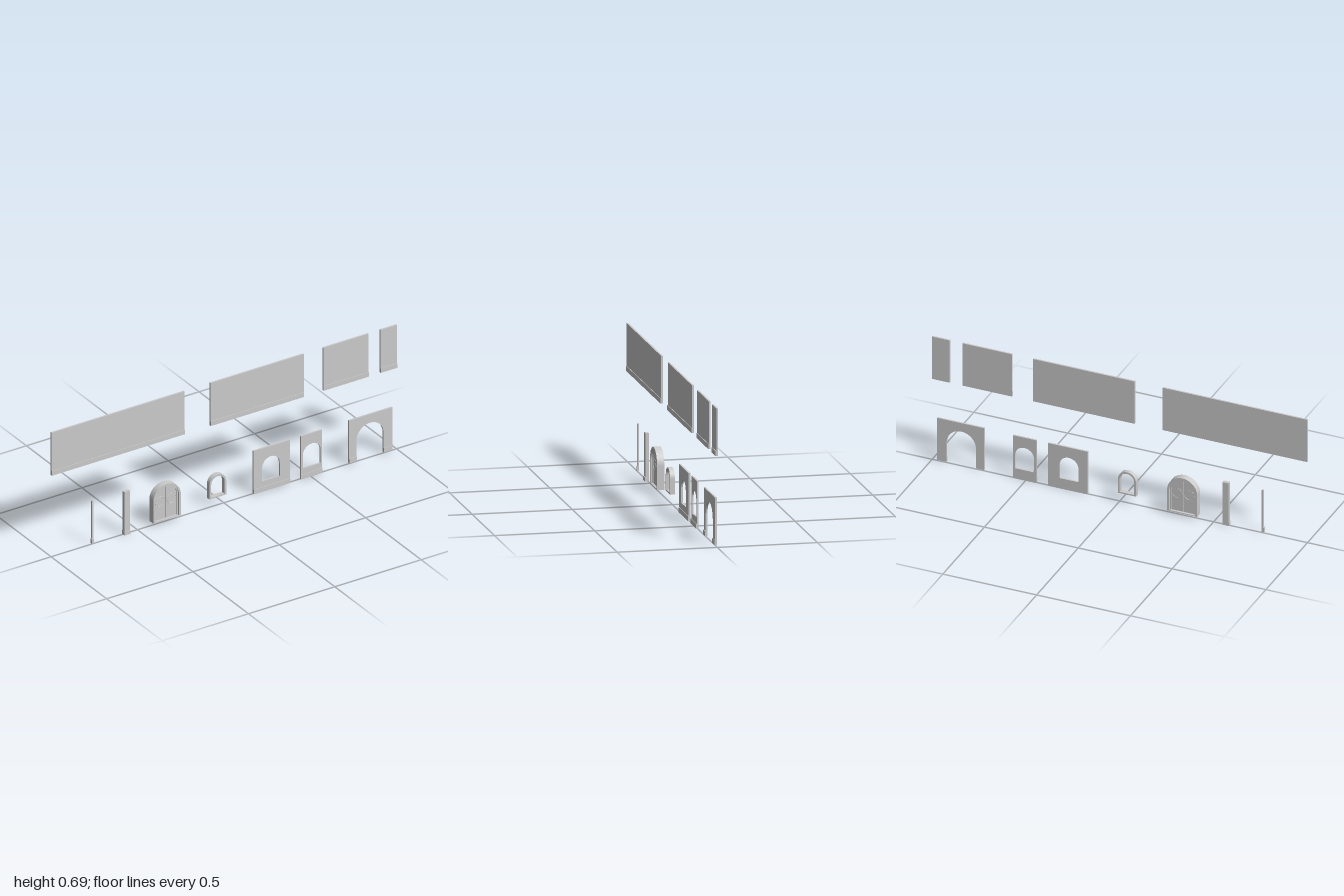
import * as THREE from 'three';

const grey = new THREE.MeshStandardMaterial({ color: 0xcccccc, flatShading: true });
const WALL_BACK = -0.004, WALL_FRONT = 0.005, SKIRT_FRONT = 0.008, SKIRT_HEIGHT = 0.025;

// Box given by its limits on each axis
function box(name, x0, x1, y0, y1, z0, z1) {
  const mesh = new THREE.Mesh(new THREE.BoxGeometry(x1 - x0, y1 - y0, z1 - z0), grey);
  mesh.position.set((x0 + x1) / 2, (y0 + y1) / 2, (z0 + z1) / 2);
  mesh.name = name;
  return mesh;
}

// Round-topped outline: straight sides and a semicircular head
function arch(path, x0, x1, y0, top) {
  const r = (x1 - x0) / 2;
  path.moveTo(x0, y0);
  path.lineTo(x1, y0);
  path.lineTo(x1, top - r);
  path.absarc((x0 + x1) / 2, top - r, r, 0, Math.PI, false);
  path.lineTo(x0, y0);
  return path;
}

function extrude(name, shape, z0, z1) {
  const geo = new THREE.ExtrudeGeometry(shape, { depth: z1 - z0, bevelEnabled: false, curveSegments: 20 });
  geo.translate(0, 0, z0);
  const mesh = new THREE.Mesh(geo, grey);
  mesh.name = name;
  return mesh;
}

function rectangle(x0, x1, y0, y1) {
  return new THREE.Shape([[x0, y0], [x1, y0], [x1, y1], [x0, y1]].map(p => new THREE.Vector2(...p)));
}

function skirting(x0, x1, y0) {
  return box('skirting', x0, x1, y0, y0 + SKIRT_HEIGHT, WALL_FRONT, SKIRT_FRONT);
}

function group(name, ...parts) {
  const g = new THREE.Group();
  g.name = name;
  return g.add(...parts);
}

// Arched frame of even width, open or closed along the bottom
function archFrame(name, x0, x1, y0, top, width, sill, z0, z1) {
  const shape = arch(new THREE.Shape(), x0, x1, y0, top);
  shape.holes.push(arch(new THREE.Path(), x0 + width, x1 - width, y0 + sill, top - width));
  return extrude(name, shape, z0, z1);
}

export function createModel() {
  const model = new THREE.Group();
  model.name = 'wallKit';

  // Plain walls of the upper row
  [[-1, -0.23], [-0.08, 0.46], [0.573, 0.836], [0.905, 1]].forEach(([x0, x1], i) => {
    model.add(group('plainWall' + (i + 1),
      box('wallPanel', x0, x1, 0.459, 0.697, WALL_BACK, WALL_FRONT),
      skirting(x0, x1, 0.459)));
  });

  // Walls with a window opening
  [[0.17, 0.38, 0.219, 0.321], [0.443, 0.567, 0.455, 0.558]].forEach(([x0, x1, h0, h1], i) => {
    const shape = rectangle(x0, x1, 0.004, 0.243);
    shape.holes.push(arch(new THREE.Path(), h0, h1, 0.06, 0.185));
    model.add(group('windowWall' + (i + 1),
      extrude('wallPanel', shape, WALL_BACK, WALL_FRONT),
      skirting(x0, x1, 0.004)));
  });

  // Wall with an open archway
  const [a0, a1, o0, o1, ay] = [0.722, 0.973, 0.765, 0.922, 0.01];
  const archway = new THREE.Shape();
  archway.moveTo(a0, ay);
  archway.lineTo(o0, ay);
  archway.lineTo(o0, 0.12);
  archway.absarc((o0 + o1) / 2, 0.12, (o1 - o0) / 2, Math.PI, 0, true);
  archway.lineTo(o1, ay);
  archway.lineTo(a1, ay);
  archway.lineTo(a1, 0.246);
  archway.lineTo(a0, 0.246);
  model.add(group('archwayWall',
    extrude('wallPanel', archway, WALL_BACK, WALL_FRONT),
    skirting(a0, o0, ay), skirting(o1, a1, ay)));

  // Narrow end strip
  model.add(group('endStrip',
    box('strip', -0.766, -0.758, 0.01, 0.246, WALL_BACK, WALL_FRONT),
    box('skirting', -0.769, -0.758, 0.01, 0.035, WALL_BACK, SKIRT_FRONT)));

  // Pillar with a projecting foot
  model.add(group('pillar',
    box('pillarShaft', -0.583, -0.55, 0.004, 0.243, -0.007, 0.011),
    box('pillarFoot', -0.584, -0.549, 0.004, 0.024, -0.007, 0.015)));

  // Arched window frame
  model.add(archFrame('windowFrame', -0.091, 0.006, 0.055, 0.181, 0.01, 0.007, -0.011, 0.013));

  // Arched double door
  const door = group('door',
    archFrame('outerFrame', -0.42, -0.26, 0.022, 0.22, 0.011, 0.004, -0.018, 0.018),
    archFrame('innerFrame', -0.41, -0.27, 0.022, 0.21, 0.007, 0.004, -0.01, 0.01));
  for (const side of [-1, 1]) {
    // Half of the arched panel, leaving a slit at the middle
    const leaf = new THREE.Shape();
    const cx = -0.34, r = 0.065, gap = 0.001 * side;
    leaf.moveTo(cx + gap, 0.024);
    leaf.lineTo(cx + side * r, 0.024);
    leaf.lineTo(cx + side * r, 0.14);
    leaf.absarc(cx, 0.14, r, side > 0 ? 0 : Math.PI, Math.PI / 2, side < 0);
    leaf.lineTo(cx + gap, 0.14 + r);
    door.add(extrude(side > 0 ? 'leftLeaf' : 'rightLeaf', leaf, -0.005, 0.005));
    // Thin ring on both faces of each leaf
    for (const z of [-0.005, 0.005]) {
      const ring = new THREE.Mesh(new THREE.TorusGeometry(0.026, 0.0012, 6, 32), grey);
      ring.position.set(cx + side * 0.032, 0.125, z);
      ring.name = 'doorRing';
      door.add(ring);
    }
  }
  model.add(door);

  return model;
}
